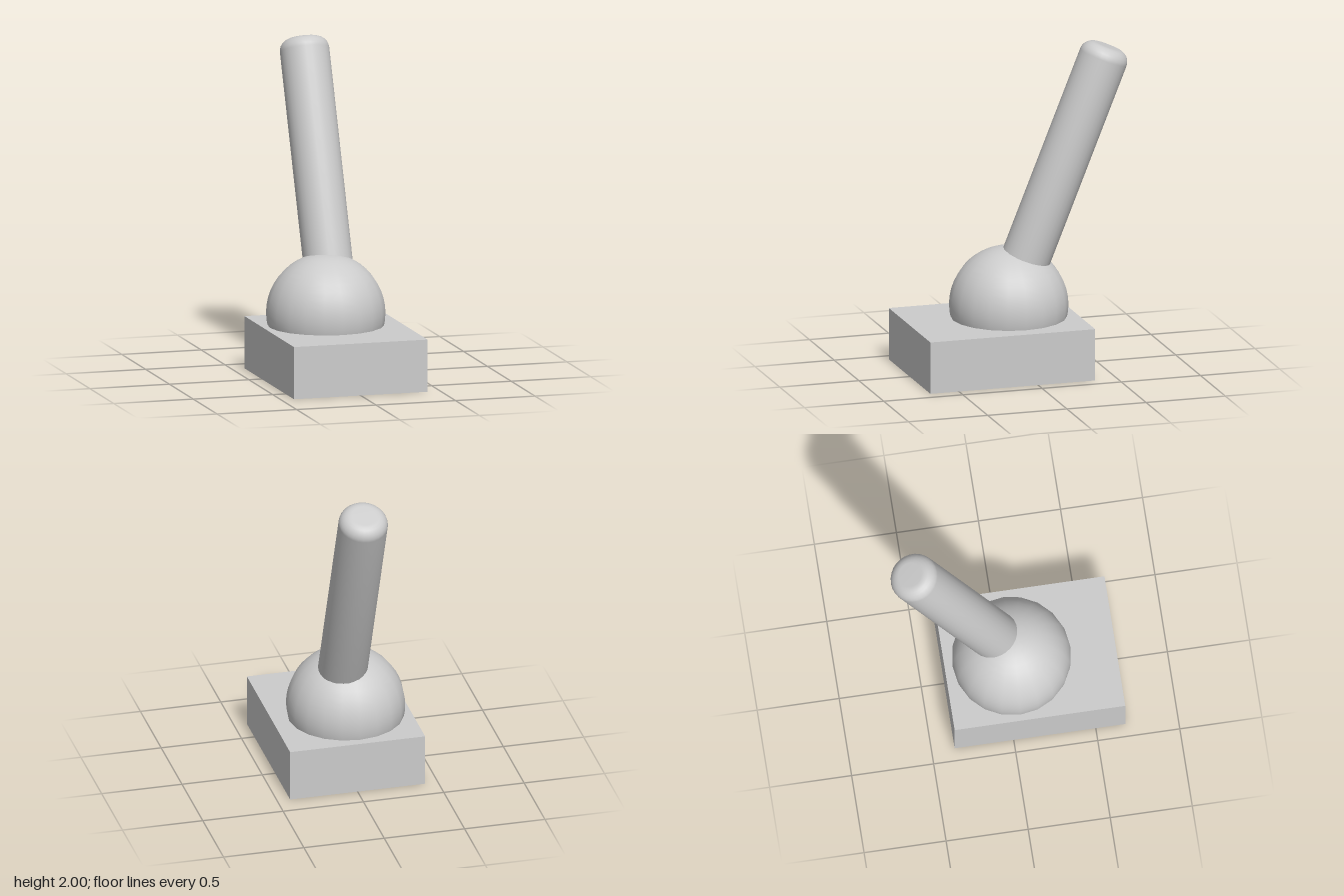
import * as THREE from 'three';

export function createModel() {
  const group = new THREE.Group();
  const material = new THREE.MeshStandardMaterial({ color: 0xcccccc });
  const add = (name, geometry, x, y, z) => {
    const mesh = new THREE.Mesh(geometry, material);
    mesh.name = name;
    mesh.position.set(x, y, z);
    group.add(mesh);
    return mesh;
  };

  // Rectangular base block
  add('base', new THREE.BoxGeometry(0.84, 0.32, 1.04), 0, 0.16, 0.16);

  // Ball joint, half sunk into the base
  add('ball', new THREE.SphereGeometry(0.36, 20, 24), -0.03, 0.395, 0.045);

  // Round stick with a rounded top edge; origin at the centre of its top face
  const radius = 0.15, bevel = 0.075, length = 1.65;
  const side = [
    new THREE.Vector2(radius, -length),
    new THREE.Vector2(radius, -bevel),
  ];
  for (let i = 1; i <= 6; i++) {
    const a = (i / 6) * Math.PI / 2;
    side.push(new THREE.Vector2(
      radius - bevel + bevel * Math.cos(a),
      -bevel + bevel * Math.sin(a)
    ));
  }
  // Closed bottom and flat top
  const profile = [new THREE.Vector2(0, -length), ...side, new THREE.Vector2(0, 0)];
  const stick = add('stick', new THREE.LatheGeometry(profile, 28), 0.012, 1.967, -0.567);
  stick.rotation.x = -THREE.MathUtils.degToRad(22);

  return group;
}
